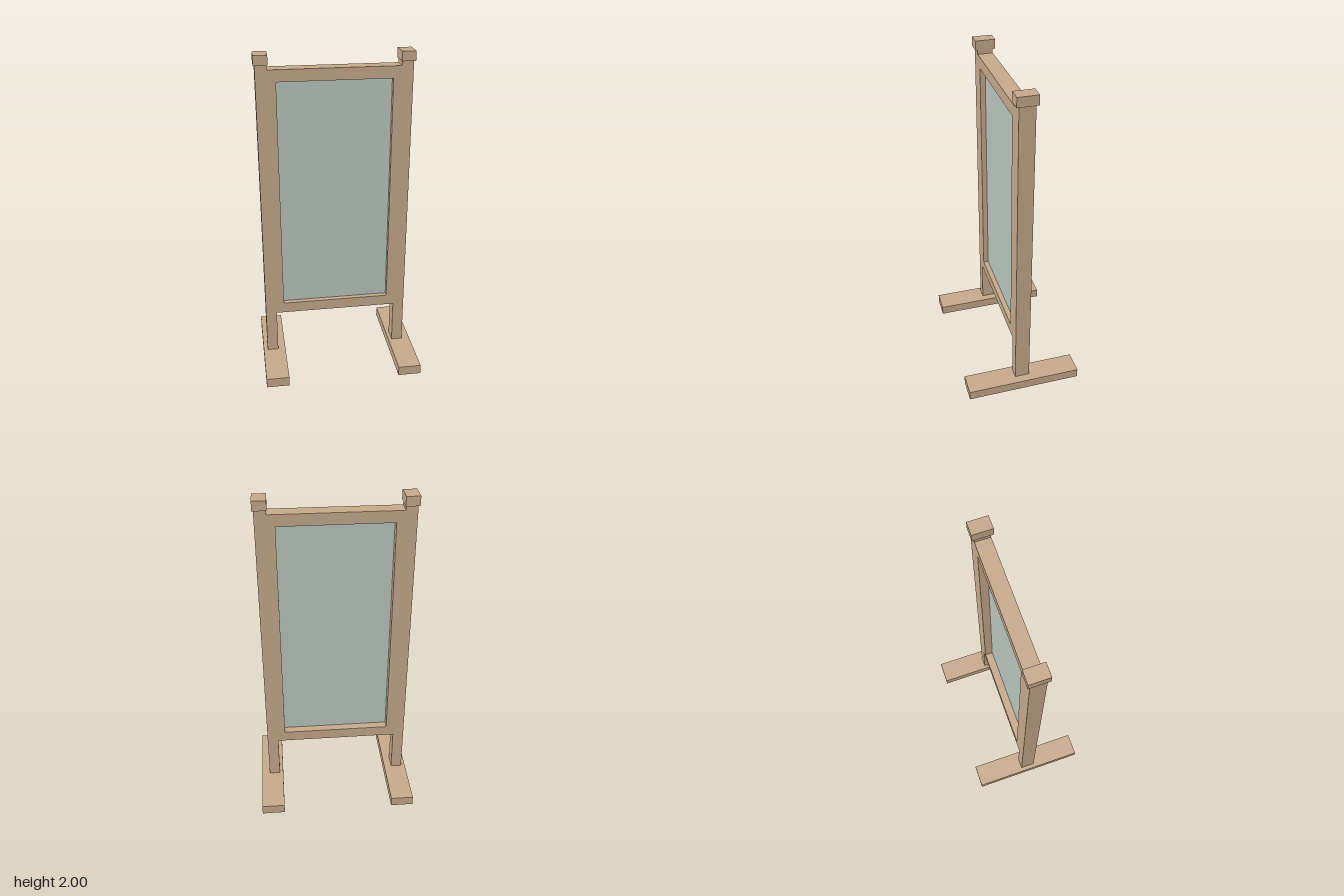
import * as THREE from 'three';

export function createModel() {
  const model = new THREE.Group();
  model.name = 'standingMirror';

  const wood = new THREE.MeshStandardMaterial({ color: 0xc8aa8c });
  wood.name = 'wood';
  const glass = new THREE.MeshStandardMaterial({ color: 0xbac8c0 });
  glass.name = 'glass';

  // Box given by its limits on each axis
  const box = (name, material, [x0, x1], [y0, y1], [z0, z1]) => {
    const mesh = new THREE.Mesh(new THREE.BoxGeometry(x1 - x0, y1 - y0, z1 - z0), material);
    mesh.position.set((x0 + x1) / 2, (y0 + y1) / 2, (z0 + z1) / 2);
    mesh.name = name;
    model.add(mesh);
  };

  const depth = 0.046;
  const postInner = [-0.397, 0.37];

  // Posts with their caps and feet
  const sides = [
    { name: 'right', post: [-0.466, postInner[0]], cap: [-0.474, -0.392], foot: [-0.492, -0.35] },
    { name: 'left', post: [postInner[1], 0.439], cap: [0.365, 0.447], foot: [0.348, 0.491] },
  ];
  for (const { name, post, cap, foot } of sides) {
    box(name + 'Foot', wood, foot, [0, 0.06], [-0.36, 0.36]);
    box(name + 'Post', wood, post, [0.06, 1.943], [-depth, depth]);
    box(name + 'Cap', wood, cap, [1.943, 2], [-0.06, 0.06]);
  }

  // Frame between the posts, with a rectangular opening
  const rect = (Type, x0, x1, y0, y1) => new Type([
    new THREE.Vector2(x0, y0), new THREE.Vector2(x1, y0),
    new THREE.Vector2(x1, y1), new THREE.Vector2(x0, y1),
  ]);
  const outline = rect(THREE.Shape, postInner[0], postInner[1], 0.34, 1.916);
  outline.holes.push(rect(THREE.Path, -0.349, 0.323, 0.408, 1.845));
  const frame = new THREE.Mesh(
    new THREE.ExtrudeGeometry(outline, { depth: depth * 2, bevelEnabled: false }), wood);
  frame.position.z = -depth;
  frame.name = 'frame';
  model.add(frame);

  // Pane recessed in the opening
  box('pane', glass, [-0.349, 0.323], [0.408, 1.845], [0.005, 0.014]);

  return model;
}
